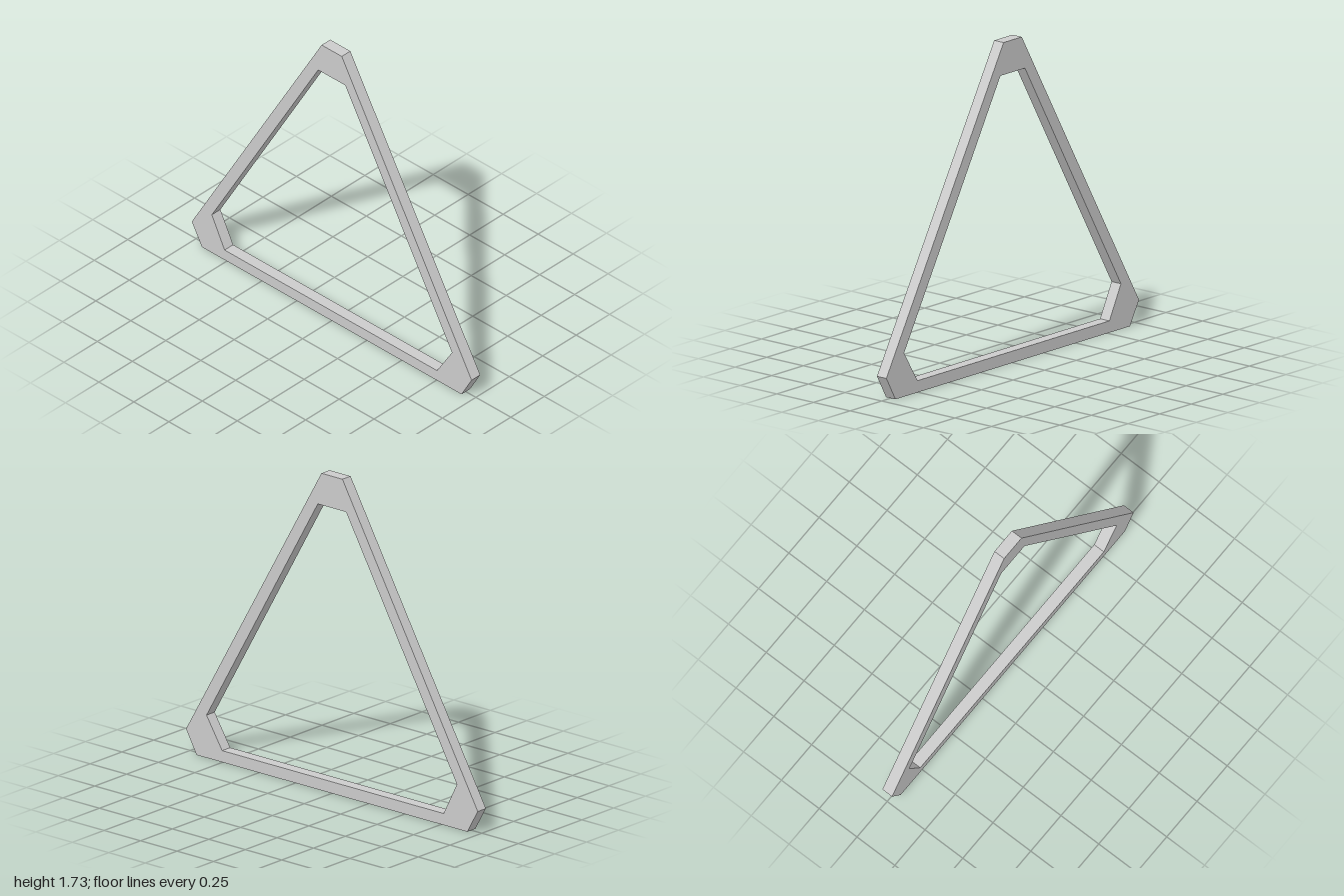
import * as THREE from 'three';

const DEPTH = 0.064;

const toPoints = (pairs) => pairs.map(([x, y]) => new THREE.Vector2(x, y));

export function createModel() {
  const group = new THREE.Group();
  group.name = 'triangularFrame';

  // Outer outline: triangle with clipped corners
  const outline = new THREE.Shape(toPoints([
    [-0.928, 0], [0.928, 0], [1, 0.127],
    [0.072, 1.733], [-0.072, 1.733], [-1, 0.127],
  ]));

  // Opening: thin sides, with the corners left solid as gussets
  outline.holes.push(new THREE.Path(toPoints([
    [-0.766, 0.063], [-0.857, 0.243], [-0.097, 1.56],
    [0.097, 1.56], [0.86, 0.233], [0.753, 0.063],
  ])));

  const geometry = new THREE.ExtrudeGeometry(outline, { depth: DEPTH, bevelEnabled: false });
  geometry.translate(0, 0, -DEPTH / 2);

  const material = new THREE.MeshStandardMaterial({ color: 0xcccccc, flatShading: true });
  const frame = new THREE.Mesh(geometry, material);
  frame.name = 'frame';
  group.add(frame);

  return group;
}
